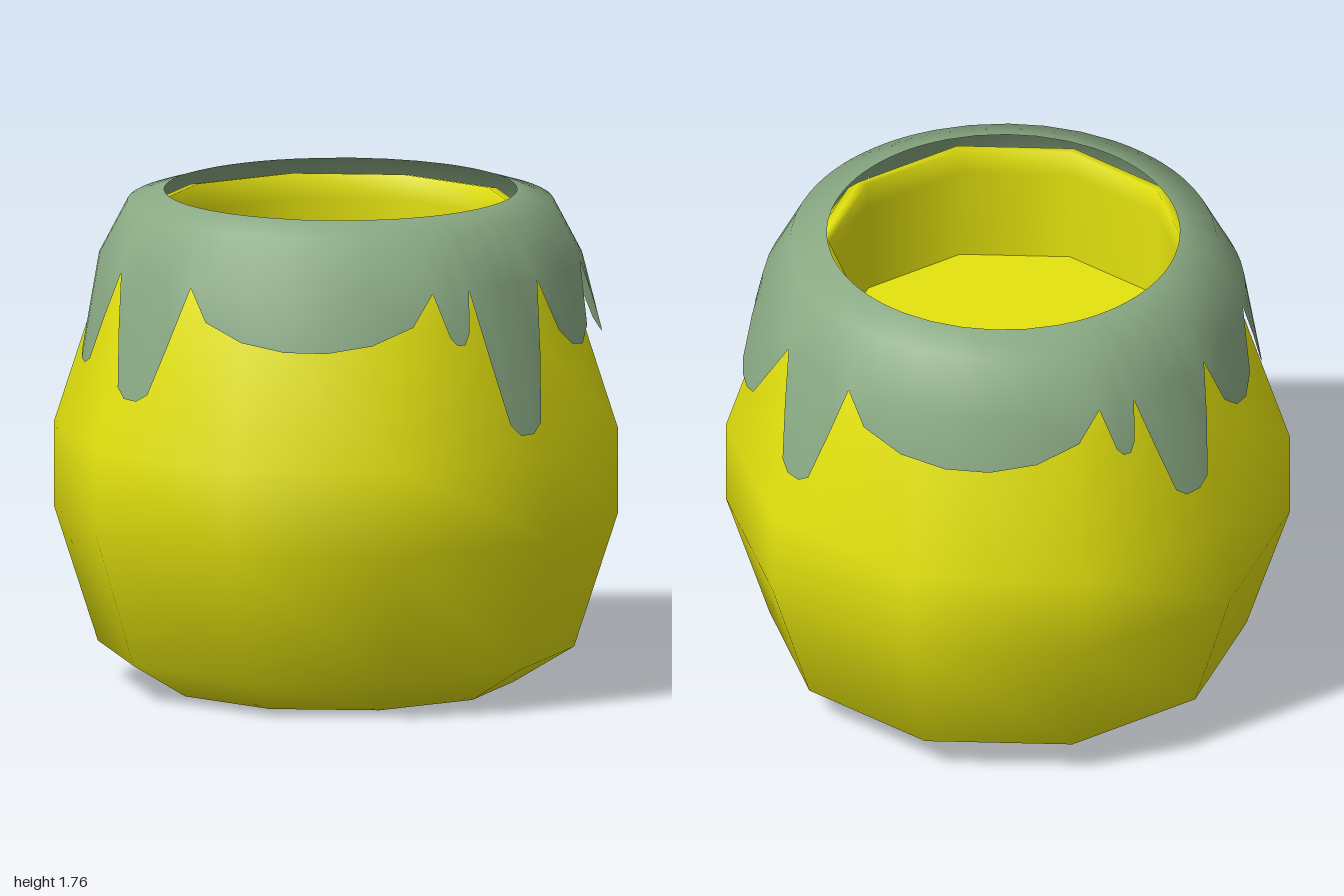
import * as THREE from 'three';

const SIDES = 10;

// Lathe from [radius, height] pairs, listed from the bottom centre outward
function lathe(name, pairs, material) {
  const points = pairs.map(([r, y]) => new THREE.Vector2(r, y));
  const mesh = new THREE.Mesh(new THREE.LatheGeometry(points, SIDES), material);
  mesh.name = name;
  return mesh;
}

// Lobe outlines: [fraction of lobe width, fraction of lobe depth]
const DRIP = [[0, 0], [0.15, 0.47], [0.29, 0.92], [0.4, 1], [0.56, 1], [0.68, 0.93], [0.84, 0.47]];
const ROUND = [[0, 0], [0.17, 0.72], [0.34, 0.95], [0.53, 1], [0.73, 0.8]];
const SMALL = [[0, 0], [0.36, 0.86], [0.52, 1], [0.72, 1], [0.86, 0.8]];
const SCALLOP = [[0, 0], [0.09, 0.57], [0.25, 0.87], [0.42, 1], [0.58, 1], [0.75, 0.87], [0.91, 0.57]];

// Lobes around the rim: [end angle in degrees, lowest height, outline, outward flare]
const FIRST_ANGLE = 8.4;
const LOBES = [
  [18.1, 1.345, SMALL, 0.24], [40.3, 1.01, DRIP, 0.23], [67.6, 1.27, ROUND, 0.24],
  [101.8, 1.24, DRIP, 0.25], [124.6, 1.12, DRIP, 0.23], [187.7, 1.34, SCALLOP, 0.24],
  [197, 1.345, SMALL, 0.24], [220.3, 1.13, DRIP, 0.29], [246, 1.28, ROUND, 0.24],
  [281, 1.17, DRIP, 0.17], [307.8, 1.11, DRIP, 0.21], [368.4, 1.335, SCALLOP, 0.24],
];

// Open sheet draped over the rim, its lower edge following the lobes
function drapeGeometry() {
  const rings = [[0.625, 1.765], [0.755, 1.725], [0.857, 1.53]];
  const [hemRadius, hem] = rings[rings.length - 1];
  const columns = [];
  let start = FIRST_ANGLE;
  for (const [end, low, outline, flare] of LOBES) {
    for (const [t, d] of outline) {
      const drop = (hem - low) * d;
      columns.push({ angle: THREE.MathUtils.degToRad(start + (end - start) * t), drop, r: hemRadius + flare * drop });
    }
    start = end;
  }

  const position = [];
  for (const { angle, drop, r: tip } of columns) {
    for (const [r, y] of [...rings, [tip, hem - drop]]) {
      position.push(Math.sin(angle) * r, y, Math.cos(angle) * r);
    }
  }

  const rows = rings.length + 1;
  const index = [];
  columns.forEach(({ drop }, i) => {
    const j = (i + 1) % columns.length;
    for (let k = 0; k < rows - 1; k++) {
      const a = i * rows + k, d = j * rows + k;
      const last = k === rows - 2;
      // beside a cusp the last quad shrinks to a triangle
      if (!(last && drop === 0)) index.push(a, a + 1, d + 1);
      if (!(last && columns[j].drop === 0)) index.push(a, d + 1, d);
    }
  });

  const geometry = new THREE.BufferGeometry();
  geometry.setAttribute('position', new THREE.Float32BufferAttribute(position, 3));
  geometry.setIndex(index);
  geometry.computeVertexNormals();
  // cusp points share the normal of the ring they meet
  const normal = geometry.attributes.normal;
  columns.forEach(({ drop }, i) => {
    if (drop > 0) return;
    const v = i * rows + rows - 1;
    normal.setXYZ(v, normal.getX(v - 1), normal.getY(v - 1), normal.getZ(v - 1));
  });
  return geometry;
}

export function createModel() {
  const yellow = new THREE.MeshStandardMaterial({ color: 0xe4e30e });
  yellow.name = 'yellow glaze';
  const green = new THREE.MeshStandardMaterial({ color: 0x8aaa84, side: THREE.DoubleSide });
  green.name = 'sage green';

  const model = new THREE.Group();
  model.name = 'pot';

  // Pot wall, from the underside over the lip and down inside
  model.add(lathe('potBody', [
    [0, 0], [0.63, 0], [0.845, 0.13], [1, 0.61], [1, 0.92], [0.845, 1.4],
    [0.8, 1.53], [0.72, 1.66], [0.67, 1.705], [0.635, 1.71], [0.63, 1.62], [0.63, 1.27],
  ], yellow));

  // Flat surface of the contents
  model.add(lathe('contents', [[0.63, 1.27], [0, 1.27]], yellow));

  // Dripping coat, sitting slightly off centre on the rim
  const drape = new THREE.Mesh(drapeGeometry(), green);
  drape.name = 'drippingCoat';
  drape.position.set(0.015, 0, 0.007);
  model.add(drape);

  return model;
}
